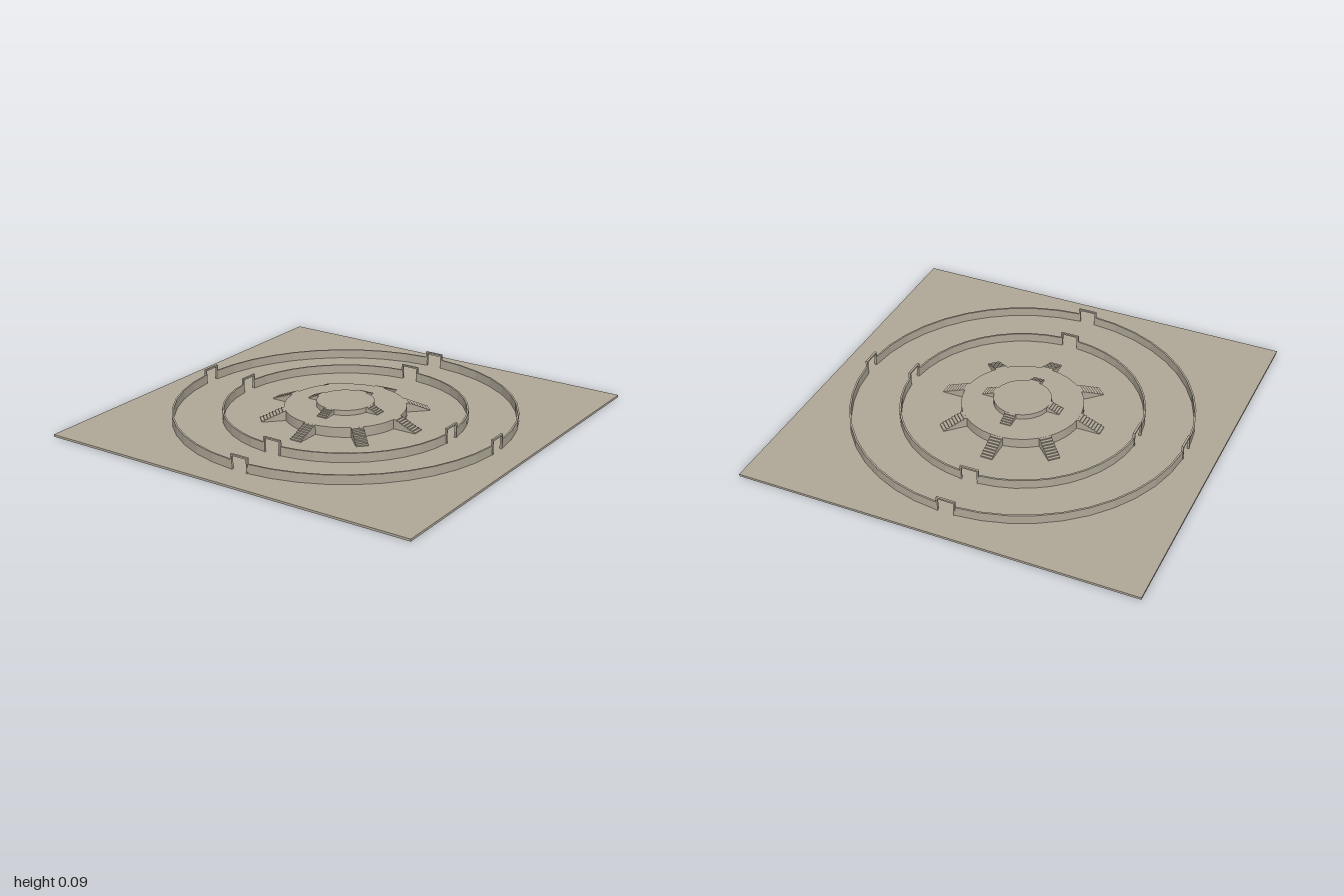
import * as THREE from 'three';

const BASE = 0.011, WALL_TOP = 0.056, GATE_TOP = 0.086, TERRACE = 0.06, SUMMIT = 0.086;

export function createModel() {
  const stone = new THREE.MeshStandardMaterial({ color: 0xb0a898 });
  stone.name = 'sandstone';
  const model = new THREE.Group();
  model.name = 'walledTemple';

  const add = (geometry, name, parent = model) => {
    const mesh = new THREE.Mesh(geometry, stone);
    mesh.name = name;
    parent.add(mesh);
    return mesh;
  };
  const box = (w, h, d, x, y, z, name, parent) =>
    add(new THREE.BoxGeometry(w, h, d), name, parent).position.set(x, y + h / 2, z);

  // Square ground slab
  box(2, BASE, 2, 0, 0, 0, 'groundSlab');

  // Quarter of a ring wall, leaving a gateway gap at each end
  function wallQuarter(radius, thickness, gap) {
    const a = gap / radius, b = Math.PI / 2 - a, steps = 10;
    const points = [];
    for (let i = 0; i <= steps; i++) {
      const t = a + (b - a) * i / steps;
      points.push(new THREE.Vector2(Math.cos(t) * radius, Math.sin(t) * radius));
    }
    for (let i = steps; i >= 0; i--) {
      const t = a + (b - a) * i / steps, r = radius - thickness;
      points.push(new THREE.Vector2(Math.cos(t) * r, Math.sin(t) * r));
    }
    const g = new THREE.ExtrudeGeometry(new THREE.Shape(points), { depth: WALL_TOP - BASE, bevelEnabled: false });
    return g.rotateX(-Math.PI / 2).translate(0, BASE, 0);
  }

  // Two ring walls, each with four open gateways
  for (const [radius, label] of [[0.85, 'outer'], [0.605, 'inner']]) {
    const thickness = 0.009;
    for (let i = 0; i < 4; i++) {
      add(wallQuarter(radius, thickness, 0.042), label + 'Wall').rotation.y = i * Math.PI / 2;
      const gate = new THREE.Group();
      gate.name = label + 'Gate';
      gate.rotation.y = i * Math.PI / 2;
      const z = radius - thickness / 2;
      for (const s of [-1, 1])
        box(0.008, GATE_TOP - BASE, thickness + 0.002, s * 0.044, BASE, z, 'gatePost', gate);
      box(0.096, 0.008, thickness + 0.002, 0, GATE_TOP - 0.008, z, 'gateLintel', gate);
      model.add(gate);
    }
  }

  // Round terrace and summit platform
  const drum = (r, y0, y1, name) =>
    add(new THREE.CylinderGeometry(r, r, y1 - y0, 48), name).position.y = (y0 + y1) / 2;
  drum(0.302, BASE, TERRACE, 'terrace');
  drum(0.143, TERRACE, SUMMIT, 'summitPlatform');

  // Solid flight of steps descending outward along +x
  function stairs(rIn, rOut, rStart, y0, y1, width, count) {
    const shape = new THREE.Shape();
    shape.moveTo(rIn, y0);
    shape.lineTo(rIn, y1);
    for (let i = 0; i < count; i++) {
      const r = rStart + (rOut - rStart) * (i + 1) / count;
      shape.lineTo(r, y1 - (y1 - y0) * i / count);
      shape.lineTo(r, y1 - (y1 - y0) * (i + 1) / count);
    }
    const g = new THREE.ExtrudeGeometry(shape, { depth: width, bevelEnabled: false });
    return g.translate(0, 0, -width / 2);
  }
  for (let i = 0; i < 8; i++)
    add(stairs(0.28, 0.42, 0.3, BASE, TERRACE - 0.0005, 0.06, 8), 'terraceStairs').rotation.y = i * Math.PI / 4;
  for (let i = 0; i < 4; i++)
    add(stairs(0.13, 0.205, 0.142, TERRACE, SUMMIT - 0.0005, 0.055, 5), 'summitStairs').rotation.y = i * Math.PI / 2;

  return model;
}
